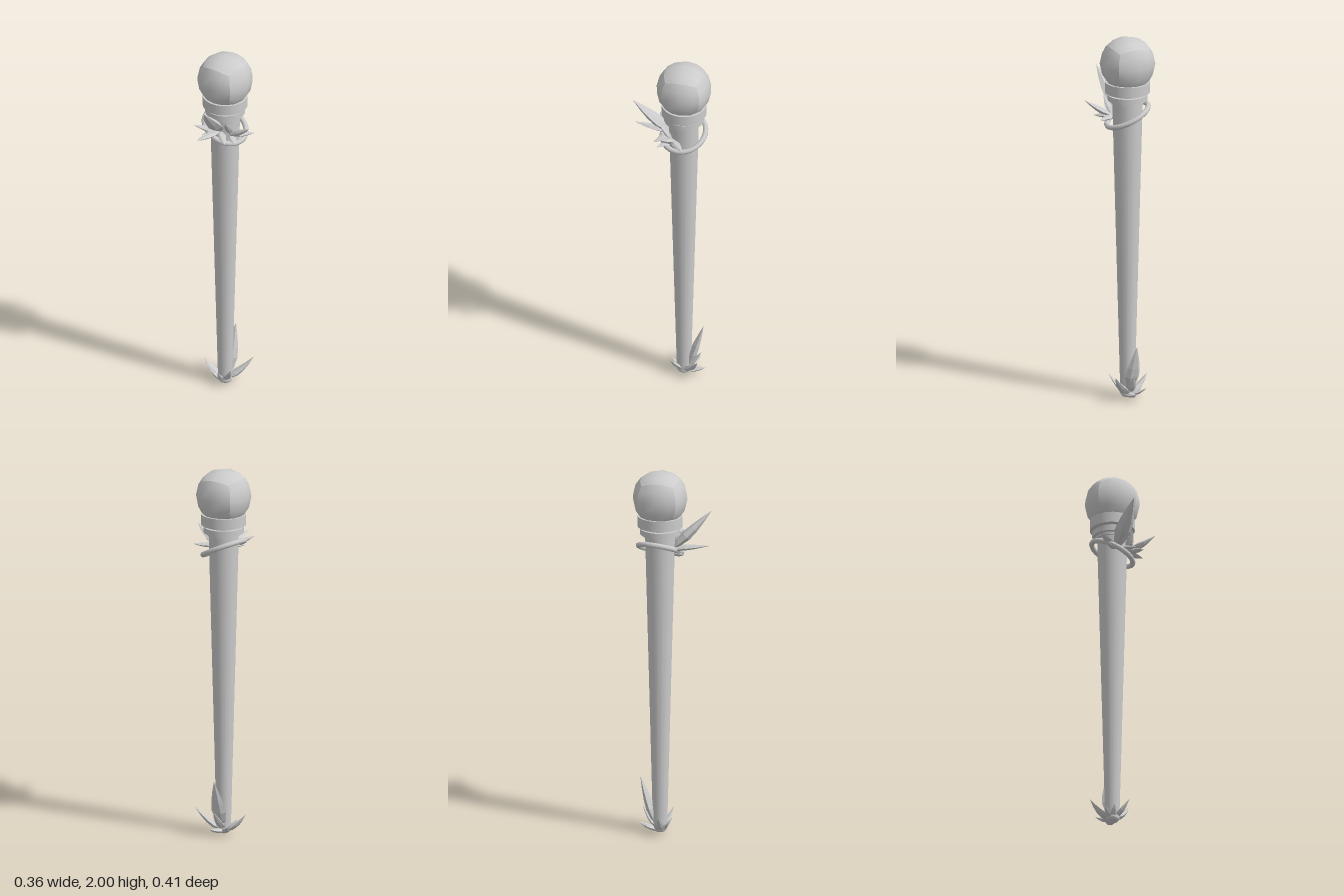
import * as THREE from 'three';

const V = (x, y, z) => new THREE.Vector3(x, y, z);
const CX = -0.033, CZ = -0.06; // axis of the staff

export function createModel() {
  const model = new THREE.Group();
  const smooth = new THREE.MeshStandardMaterial({ color: 0xcccccc });
  const faceted = new THREE.MeshStandardMaterial({ color: 0xcccccc, flatShading: true, side: THREE.DoubleSide });

  const add = (name, geometry, material = smooth, parent = model) => {
    const mesh = new THREE.Mesh(geometry, material);
    mesh.name = name;
    parent.add(mesh);
    return mesh;
  };
  const drum = (name, rTop, rBottom, y0, y1, sides = 32) =>
    add(name, new THREE.CylinderGeometry(rTop, rBottom, y1 - y0, sides)).position.set(CX, (y0 + y1) / 2, CZ);

  // Orb: a subdivided cube pushed out to a sphere, creased along the cube edges
  const orb = new THREE.BoxGeometry(1, 1, 1, 4, 4, 4);
  const p = orb.attributes.position;
  for (let i = 0; i < p.count; i++) {
    const v = V().fromBufferAttribute(p, i).setLength(0.147);
    p.setXYZ(i, v.x, v.y, v.z);
  }
  orb.computeVertexNormals();
  add('orb', orb).position.set(CX, 1.853, CZ);

  // Shaft and collars
  drum('shaft', 0.081, 0.038, 0.02, 1.66, 16);
  drum('neck', 0.088, 0.088, 1.64, 1.71);
  drum('upperCollar', 0.119, 0.119, 1.697, 1.755);
  drum('lowerCollar', 0.106, 0.106, 1.655, 1.685);

  // Tilted vine round the shaft, low on the left side and high on the right
  const loop = [];
  for (let i = 0; i < 20; i++) {
    const a = (i / 20) * Math.PI * 2;
    loop.push(V(CX + 0.108 * Math.cos(a), 1.567 - 0.052 * Math.cos(a) - 0.012 * Math.sin(a), CZ + 0.115 * Math.sin(a)));
  }
  add('vine', new THREE.TubeGeometry(new THREE.CatmullRomCurve3(loop, true), 48, 0.014, 8, true));

  // Leaf: six-sided lens sections along a curve that sags below its chord
  const profile = [0.25, 0.72, 1, 0.85, 0.5, 0.02];
  const leafGeometry = (base, tip, width, sag) => {
    const mid = base.clone().lerp(tip, 0.45);
    mid.y -= sag;
    const curve = new THREE.QuadraticBezierCurve3(base, mid, tip);
    const across = V().crossVectors(tip.clone().sub(base), V(0, 1, 0)).normalize();
    const points = [], index = [], n = 6;
    profile.forEach((s, j) => {
      const t = j / (profile.length - 1);
      const c = curve.getPoint(t);
      const up = V().crossVectors(across, curve.getTangent(t)).normalize();
      for (let k = 0; k < n; k++) {
        const a = (k / n) * Math.PI * 2;
        const q = c.clone()
          .addScaledVector(across, Math.cos(a) * s * width / 2)
          .addScaledVector(up, Math.sin(a) * s * width * 0.27);
        points.push(q.x, q.y, q.z);
        if (j) {
          const b = j * n + k, b2 = j * n + (k + 1) % n;
          index.push(b - n, b2 - n, b, b2 - n, b2, b);
        }
      }
    });
    const g = new THREE.BufferGeometry();
    g.setAttribute('position', new THREE.Float32BufferAttribute(points, 3));
    g.setIndex(index);
    g.computeVertexNormals();
    return g;
  };
  const cluster = (name, leaves) => {
    const group = new THREE.Group();
    group.name = name;
    model.add(group);
    leaves.forEach(([base, tip, width, sag]) =>
      add('leaf', leafGeometry(V(...base), V(...tip), width, sag), faceted, group));
  };

  // Leaves: base, tip, width, sag
  const front = [-0.025, 1.57, 0.0], side = [0.035, 1.565, -0.01];
  cluster('upperLeaves', [
    [front, [0.018, 1.777, 0.205], 0.095, 0.01],
    [front, [-0.03, 1.6, 0.205], 0.05, 0.0],
    [front, [-0.133, 1.61, 0.09], 0.05, 0.01],
    [front, [-0.09, 1.56, 0.075], 0.035, 0.01],
    [front, [0.065, 1.55, 0.085], 0.045, 0.0],
    [side, [0.178, 1.655, 0.023], 0.06, 0.015],
    [side, [0.14, 1.57, -0.085], 0.045, 0.01],
    [side, [0.11, 1.555, 0.057], 0.045, 0.005],
    [side, [0.05, 1.66, 0.055], 0.045, 0.0],
    [side, [0.1, 1.61, 0.03], 0.04, 0.01],
  ]);

  const foot = [CX - 0.005, 0.025, CZ];
  cluster('lowerLeaves', [
    [[CX, 0.04, -0.08], [-0.037, 0.305, -0.165], 0.085, 0.02],
    [foot, [0.085, 0.147, -0.155], 0.06, 0.04],
    [foot, [-0.157, 0.112, -0.045], 0.06, 0.04],
    [foot, [0.045, 0.12, 0.0], 0.045, 0.035],
    [foot, [-0.035, 0.08, 0.005], 0.045, 0.03],
    [foot, [-0.085, 0.07, -0.005], 0.045, 0.025],
    [foot, [-0.02, 0.045, -0.178], 0.05, 0.02],
    [foot, [-0.105, 0.06, -0.14], 0.045, 0.025],
    [foot, [-0.025, 0.14, -0.155], 0.055, 0.03],
  ]);
  // Rounded end of the shaft
  const tip = add('footCap', new THREE.SphereGeometry(0.038, 16, 10));
  tip.scale.y = 0.6;
  tip.position.set(CX, 0.023, CZ);

  return model;
}
